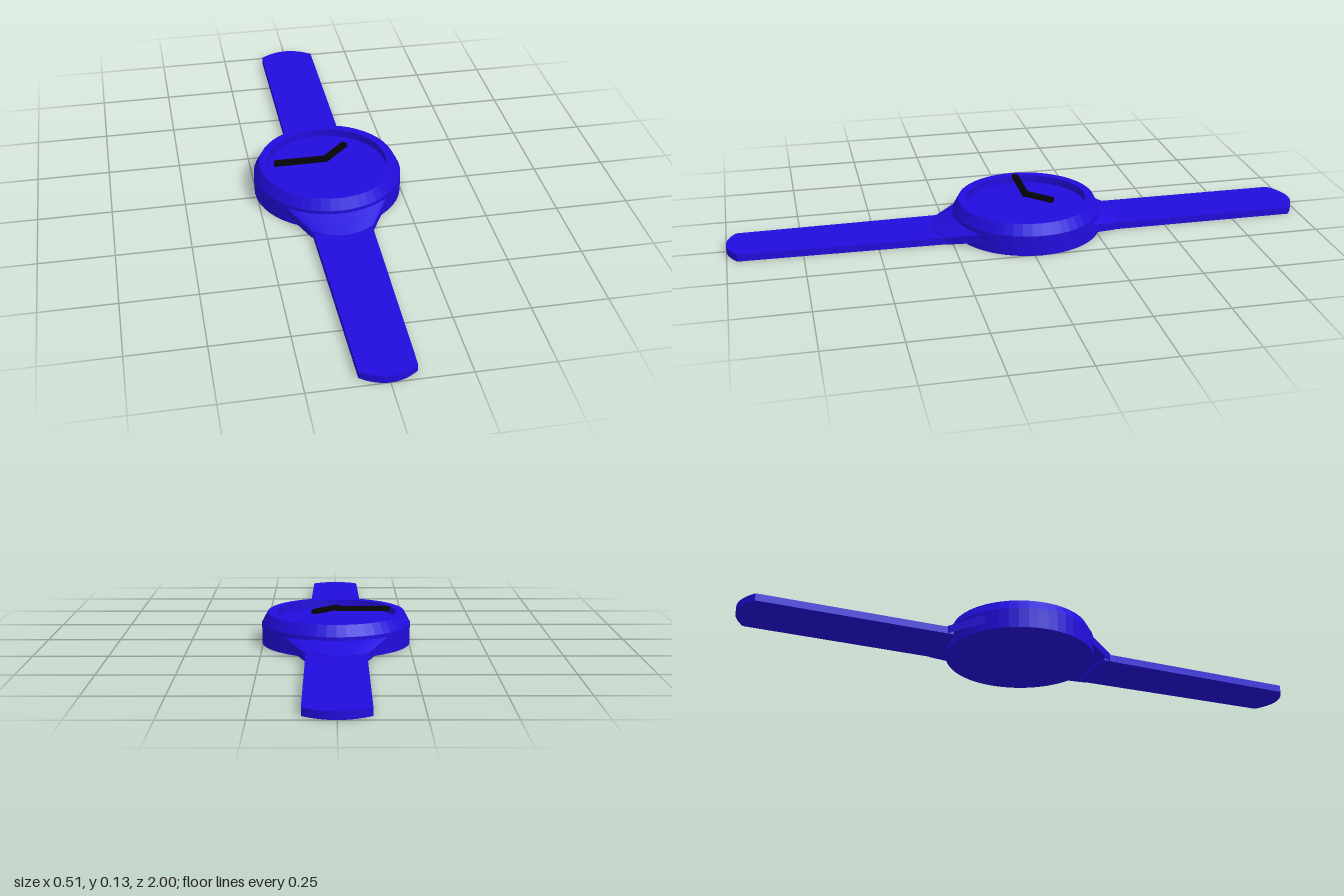
import * as THREE from 'three';

const blue = new THREE.MeshStandardMaterial({ color: 0x220cdd, flatShading: true });
const black = new THREE.MeshStandardMaterial({ color: 0x050505, flatShading: true });
const CENTRE_Z = -0.025;

function add(group, name, geometry, material) {
  const mesh = new THREE.Mesh(geometry, material);
  mesh.name = name;
  group.add(mesh);
  return mesh;
}

// Flat strap with a rounded tip, running along z from z0 to the tip (dir = +1 front, -1 back)
function strapGeometry(dir, start, shoulder, tip, w0, w1, height) {
  const s = new THREE.Shape();
  s.moveTo(-w0, -dir * start);
  const n = 16;
  for (let i = 0; i <= n; i++) {
    const t = -1 + (2 * i) / n;
    s.lineTo(w1 * t, -dir * (shoulder + (tip - shoulder) * (1 - t * t)));
  }
  s.lineTo(w0, -dir * start);
  const g = new THREE.ExtrudeGeometry(s, { depth: height, bevelEnabled: false });
  return g.rotateX(-Math.PI / 2);
}

// Sloping lug: a loop of four-point sections swept from one side to the other.
// Each section joins the case wall (high) to a curved outer edge on the strap (low).
function lugGeometry(dir) {
  const n = 20, R = 0.25, pos = [], idx = [];
  for (let i = 0; i <= n; i++) {
    const t = -1 + (2 * i) / n;
    const xi = 0.18 * t, zi = Math.sqrt(R * R - xi * xi);
    const xo = 0.105 * t, zo = 0.293 + 0.042 * (1 - t * t);
    for (const [x, y, z] of [[xi, 0.06, zi], [xo, 0.027, zo], [xo, 0.001, zo], [xi, 0.03, zi]]) {
      pos.push(x, y, dir * z + CENTRE_Z);
    }
  }
  const quad = (a, b, c, d) => (dir > 0 ? idx.push(a, b, c, a, c, d) : idx.push(a, c, b, a, d, c));
  for (let i = 0; i < n; i++) {
    for (let k = 0; k < 4; k++) {
      const a = i * 4 + k, b = i * 4 + ((k + 1) % 4);
      quad(a, b, b + 4, a + 4);
    }
  }
  quad(3, 2, 1, 0);
  quad(n * 4, n * 4 + 1, n * 4 + 2, n * 4 + 3);
  const g = new THREE.BufferGeometry();
  g.setAttribute('position', new THREE.Float32BufferAttribute(pos, 3));
  g.setIndex(idx);
  g.computeVertexNormals();
  return g;
}

// Bar-shaped hand starting just behind the pivot
function handGeometry(length, width, height, tail) {
  return new THREE.BoxGeometry(length + tail, height, width).translate((length - tail) / 2, 0, 0);
}

export function createModel() {
  const watch = new THREE.Group();
  watch.name = 'wristwatch';

  // Case with bevelled bezel and sunken dial
  const profile = [
    [0, 0], [0.255, 0], [0.255, 0.07], [0.235, 0.107],
    [0.206, 0.107], [0.206, 0.08], [0, 0.08],
  ].map(([r, y]) => new THREE.Vector2(r, y));
  add(watch, 'case', new THREE.LatheGeometry(profile, 48), blue).position.z = CENTRE_Z;

  // Lugs
  add(watch, 'frontLug', lugGeometry(1), blue);
  add(watch, 'backLug', lugGeometry(-1), blue);

  // Straps: the front one tapers slightly
  add(watch, 'frontStrap', strapGeometry(1, 0.25, 0.965, 1, 0.1, 0.088, 0.025), blue);
  add(watch, 'backStrap', strapGeometry(-1, 0.3, 0.96, 1, 0.1, 0.1, 0.025), blue);

  // Hands
  const minute = add(watch, 'minuteHand', handGeometry(0.185, 0.02, 0.014, 0), black);
  minute.position.set(0, 0.115, CENTRE_Z);
  minute.rotation.y = Math.PI;
  const hour = add(watch, 'hourHand', handGeometry(0.108, 0.02, 0.014, 0.01), black);
  hour.position.set(0, 0.119, CENTRE_Z);
  hour.rotation.y = Math.PI / 4;

  return watch;
}
